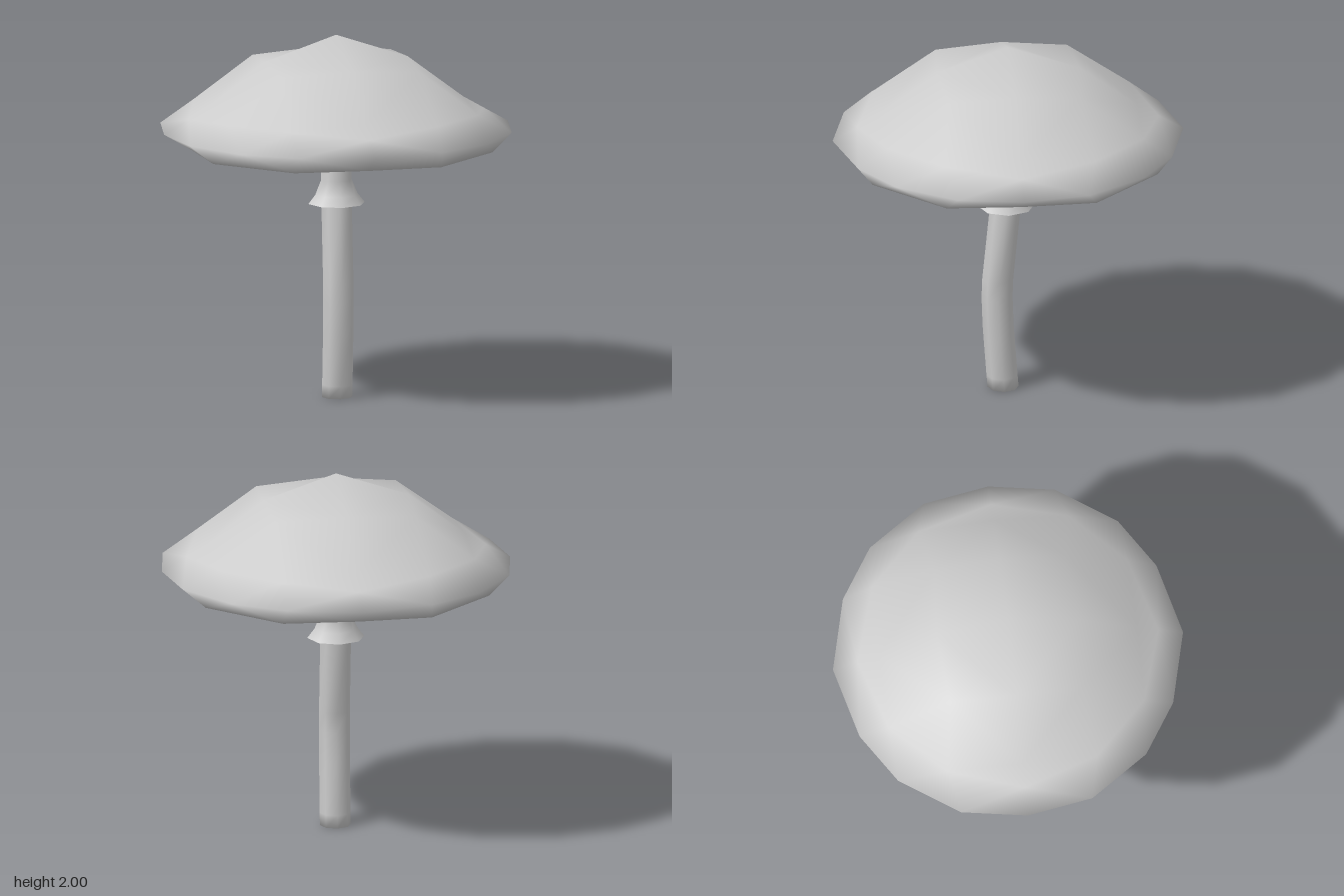
import * as THREE from 'three';
import { mergeVertices } from 'three/addons/utils/BufferGeometryUtils.js';

const material = new THREE.MeshStandardMaterial({ color: 0xcccccc });

// Welded, smooth-shaded mesh from a list of corner points (three per face)
function smoothMesh(points, name) {
  const geo = new THREE.BufferGeometry();
  geo.setAttribute('position', new THREE.Float32BufferAttribute(points.flat(), 3));
  const welded = mergeVertices(geo, 1e-4);
  welded.computeVertexNormals();
  const mesh = new THREE.Mesh(welded, material);
  mesh.name = name;
  return mesh;
}

// Cap: one quarter as a triangular grid growing from the tip to the rim, mirrored four ways
function makeCap() {
  const rows = [
    [[0, 2, 0]],
    [[0.4, 1.865, 0], [0, 1.865, 0.39]],
    [[0.71, 1.63, 0], [0.385, 1.84, 0.36], [0, 1.63, 0.71]],
    [[0.825, 1.563, 0], [0.7, 1.6, 0.41], [0.41, 1.6, 0.7], [0, 1.563, 0.825]],
    [[0.96, 1.485, 0], [0.9, 1.485, 0.36], [0.68, 1.485, 0.68], [0.4, 1.485, 0.86], [0, 1.485, 0.96]],
  ];
  const rim = rows[4];
  const under = [[0.8, 1.39, 0], [0.78, 1.39, 0.41], [0.41, 1.39, 0.78], [0, 1.39, 0.8]];
  const quarter = [];
  for (let r = 0; r < 4; r++) {
    for (let c = 0; c <= r; c++) {
      quarter.push([rows[r][c], rows[r + 1][c + 1], rows[r + 1][c]]);
      if (c < r) quarter.push([rows[r][c], rows[r][c + 1], rows[r + 1][c + 1]]);
    }
  }
  // Rim bevel and flat underside
  for (let c = 0; c < 4; c++) {
    quarter.push([rim[c], rim[c + 1], under[c]]);
    if (c < 3) {
      quarter.push([rim[c + 1], under[c + 1], under[c]]);
      quarter.push([[0, 1.39, 0], under[c], under[c + 1]]);
    }
  }
  const points = [];
  for (const sx of [1, -1]) for (const sz of [1, -1]) {
    for (const tri of quarter) {
      const t = tri.map(([x, y, z]) => [x * sx, y, z * sz]);
      points.push(...(sx * sz > 0 ? t : t.reverse()));
    }
  }
  return smoothMesh(points, 'cap');
}

// Loft of octagonal sections [height, z offset, radius], listed upwards
function loft(sections, name) {
  const sides = 8;
  const at = ([y, z, r], j) => {
    const a = ((j % sides) / sides) * Math.PI * 2;
    return [r * Math.sin(a), y, z + r * Math.cos(a)];
  };
  const points = [];
  for (let i = 0; i < sections.length - 1; i++) {
    const [lo, hi] = [sections[i], sections[i + 1]];
    for (let j = 0; j < sides; j++) {
      const [a, b, c, d] = [at(lo, j), at(lo, j + 1), at(hi, j + 1), at(hi, j)];
      if (lo[2] > 0) points.push(a, b, c);
      points.push(a, c, d);
    }
  }
  return smoothMesh(points, name);
}

export function createModel() {
  const group = new THREE.Group();
  group.name = 'mushroom';
  group.add(makeCap());
  // Gently bowed stem, closed at the foot
  group.add(loft([
    [0, 0.027, 0], [0, 0.027, 0.085], [0.07, 0.033, 0.085], [0.36, 0.054, 0.085],
    [0.53, 0.06, 0.085], [0.64, 0.056, 0.085], [1.07, 0.014, 0.085],
  ], 'stem'));
  // Flared ring under the cap, narrowing into the neck, with a flat crisp underside
  group.add(loft([
    [1.07, 0.01, 0.157], [1.12, 0.01, 0.118], [1.2, 0.007, 0.085], [1.4, 0.005, 0.085],
  ], 'ringAndNeck'));
  group.add(loft([[1.068, 0.01, 0], [1.07, 0.01, 0.157]], 'ringUnderside'));
  return group;
}
